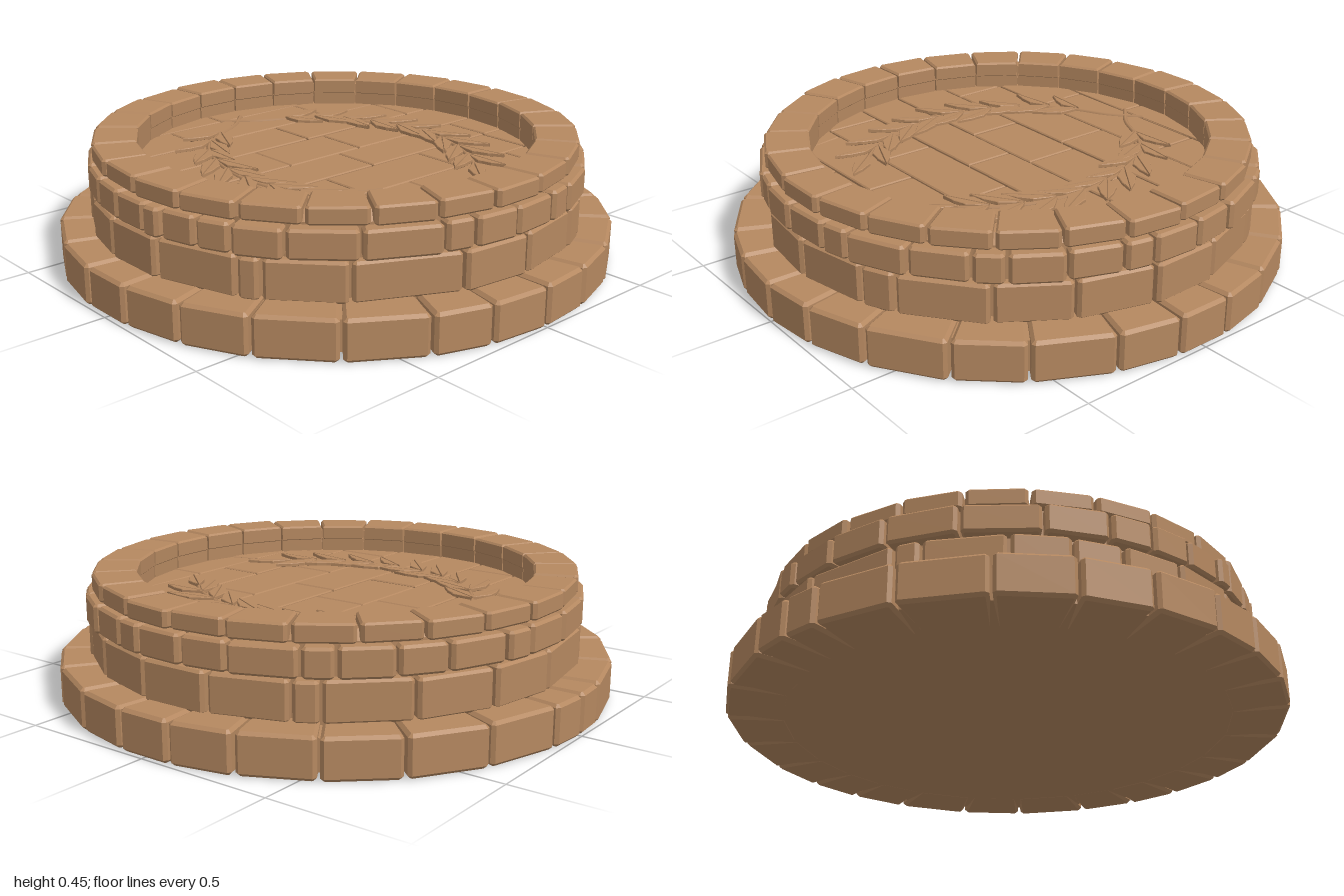
import * as THREE from 'three';
import { mergeGeometries } from 'three/addons/utils/BufferGeometryUtils.js';

const sandstone = new THREE.MeshStandardMaterial({ color: 0xb58860 });
sandstone.name = 'sandstone';

// Small seeded wobble so the masonry looks hand cut
let seed = 7;
const wobble = (size) => {
  seed = (seed * 16807) % 2147483647;
  return (seed / 2147483647 - 0.5) * 2 * size;
};

// Chamfered block from a ground outline of [x, z] points
function block(points, y0, y1, bevel) {
  const shape = new THREE.Shape(points.map(([x, z]) => new THREE.Vector2(x, -z)));
  const geo = new THREE.ExtrudeGeometry(shape, {
    depth: y1 - y0 - 2 * bevel, bevelEnabled: bevel > 0, bevelThickness: bevel,
    bevelSize: bevel, bevelOffset: -bevel, bevelSegments: 1, curveSegments: 1,
  });
  return geo.rotateX(-Math.PI / 2).translate(0, y0 + bevel, 0);
}

const polar = (r, a) => [r * Math.sin(a), r * Math.cos(a)];
const mix = (p, q, t) => [p[0] + (q[0] - p[0]) * t, p[1] + (q[1] - p[1]) * t];

// Ring of wedge stones; joints are in degrees from the front towards +x
function stoneRing(joints, { inner, outer, y0, y1, bevel = 0.009, rough = 0.006, gap = 0.005 }) {
  return mergeGeometries(joints.map((deg, i) => {
    const next = i + 1 < joints.length ? joints[i + 1] : joints[0] + 360;
    const a0 = THREE.MathUtils.degToRad(deg) + gap / outer;
    const a1 = THREE.MathUtils.degToRad(next) - gap / outer;
    const r = outer - rough + wobble(rough);
    const o0 = polar(r, a0), o1 = polar(r, a1);
    const i0 = polar(inner, a0), i1 = polar(inner, a1);
    // The two outer upright corners are clipped
    const c = 0.012;
    const side = c / (r - inner), front = c / Math.hypot(o1[0] - o0[0], o1[1] - o0[1]);
    const outline = [i0, mix(o0, i0, side), mix(o0, o1, front), mix(o1, o0, front), mix(o1, i1, side), i1];
    return block(outline, y0 + Math.abs(wobble(rough * 0.5)), y1 + wobble(rough * 0.4), bevel);
  }));
}

// Floor planks of stone, cut to the round basin
function floorSlabs(y0, y1) {
  const xs = [-0.73, -0.62, -0.415, -0.21, 0, 0.19, 0.4, 0.58, 0.73];
  const cuts = [[0.05], [-0.32, 0.3], [-0.58, -0.05, 0.58], [-0.42, -0.12, 0.21],
    [-0.6, -0.01, 0.45], [-0.59, -0.23, 0.22, 0.58], [-0.47, 0.03, 0.51], [-0.1, 0.24]];
  const slabs = [];
  const g = 0.004;
  cuts.forEach((column, i) => {
    const x0 = xs[i] + g, x1 = xs[i + 1] - g;
    const zs = [-0.75, ...column, 0.75];
    const clip = (x, z) => {
      const m = Math.sqrt(Math.max(0.0004, 0.75 ** 2 - x * x));
      return THREE.MathUtils.clamp(z, -m, m);
    };
    for (let j = 0; j + 1 < zs.length; j++) {
      const a = zs[j] + g, b = zs[j + 1] - g;
      slabs.push(block([[x0, clip(x0, a)], [x1, clip(x1, a)], [x1, clip(x1, b)], [x0, clip(x0, b)]],
        y0, y1 + wobble(0.0015), 0.004));
    }
  });
  return mergeGeometries(slabs);
}

// Leaf in low relief: two halves with a fine groove for the midrib
function leaf(x, z, angle, length, width, y) {
  const profile = [[0.2, 0.55], [0.42, 1], [0.5, 0.86], [0.72, 0.66], [0.78, 0.5]];
  const halves = [1, -1].map((s) => {
    const pts = [[0, s * 0.002], ...profile.map(([t, w]) => [t * length, s * w * width / 2]), [length, s * 0.002]];
    return block(pts, 0, 0.014, 0.002);
  });
  return mergeGeometries(halves).rotateY(-angle).translate(x, y, z);
}

// One laurel branch; side -1 sweeps round the back, +1 round the front
function branch(side, y) {
  const path = [[-0.63, -0.05], [-0.54, 0.05], [-0.47, 0.18], [-0.37, 0.3], [-0.2, 0.385],
    [0, 0.43], [0.2, 0.405], [0.37, 0.32], [0.43, 0.27]];
  const curve = new THREE.CatmullRomCurve3(path.map(([x, z]) => new THREE.Vector3(x, y + 0.002, z * side)));
  const parts = [new THREE.TubeGeometry(curve, 40, 0.009, 5).toNonIndexed()];
  const nodes = 9;
  for (let i = 0; i < nodes; i++) {
    const t = 0.2 + 0.72 * i / (nodes - 1);
    const p = curve.getPointAt(t), d = curve.getTangentAt(t);
    const heading = Math.atan2(d.z, d.x);
    for (const s of [1, -1]) {
      const turn = s * (0.52 + wobble(0.1));
      parts.push(leaf(p.x, p.z, heading + turn, 0.18 + wobble(0.02), 0.066, y + 0.001 * (s + 1)));
    }
  }
  const tip = curve.getPointAt(1), d = curve.getTangentAt(1);
  parts.push(leaf(tip.x, tip.z, Math.atan2(d.z, d.x), 0.17, 0.06, y));
  return mergeGeometries(parts);
}

export function createModel() {
  const group = new THREE.Group();
  const add = (name, geometry) => {
    const mesh = new THREE.Mesh(geometry, sandstone);
    mesh.name = name;
    group.add(mesh);
  };

  // Solid core behind the joints, with the sunken basin in its top
  const core = [[0, 0.002], [0.8, 0.002], [0.94, 0.012], [0.94, 0.12], [0.84, 0.125], [0.84, 0.39],
    [0.81, 0.42], [0.75, 0.42], [0.75, 0.33], [0, 0.33]].map(([r, y]) => new THREE.Vector2(r, y));
  add('core', new THREE.LatheGeometry(core, 52).toNonIndexed());
  group.children[0].geometry.computeVertexNormals();

  // Stone courses from the ground up
  add('baseCourse', stoneRing(
    [6, 19, 33, 49, 65, 77, 90, 102, 115, 131, 145, 161, 174, 186, 199, 214, 229, 245, 261, 270, 278, 294, 311,
      326, 340, 354],
    { inner: 0.79, outer: 1.003, y0: 0, y1: 0.144, bevel: 0.011, rough: 0.004 }));
  add('secondCourse', stoneRing(
    [8, 28, 33, 51, 75, 92, 110, 118, 138, 155, 173, 190, 208, 214, 233, 251, 268, 290, 296, 314, 327, 338, 352],
    { inner: 0.7, outer: 0.892, y0: 0.137, y1: 0.277 }));
  add('thirdCourse', stoneRing(
    [5, 10, 19, 27, 38, 53, 70, 77, 88, 100, 107, 121, 134, 141, 153, 165, 172, 184, 195, 210, 217, 229, 240, 254,
      261, 274, 288, 304, 321, 335, 345, 355],
    { inner: 0.75, outer: 0.9, y0: 0.282, y1: 0.383 }));
  const rimJoints = Array.from({ length: 26 }, (_, i) => i * 360 / 26);
  add('rim', stoneRing(rimJoints, { inner: 0.715, outer: 0.874, y0: 0.384, y1: 0.448, bevel: 0.007 }));
  add('basinWall', stoneRing(rimJoints,
    { inner: 0.718, outer: 0.82, y0: 0.325, y1: 0.392, bevel: 0, rough: 0.001, gap: 0.003 }));

  // Basin floor with the wreath in relief
  add('floor', floorSlabs(0.32, 0.345));
  add('backBranch', branch(-1, 0.342));
  add('frontBranch', branch(1, 0.342));
  return group;
}
